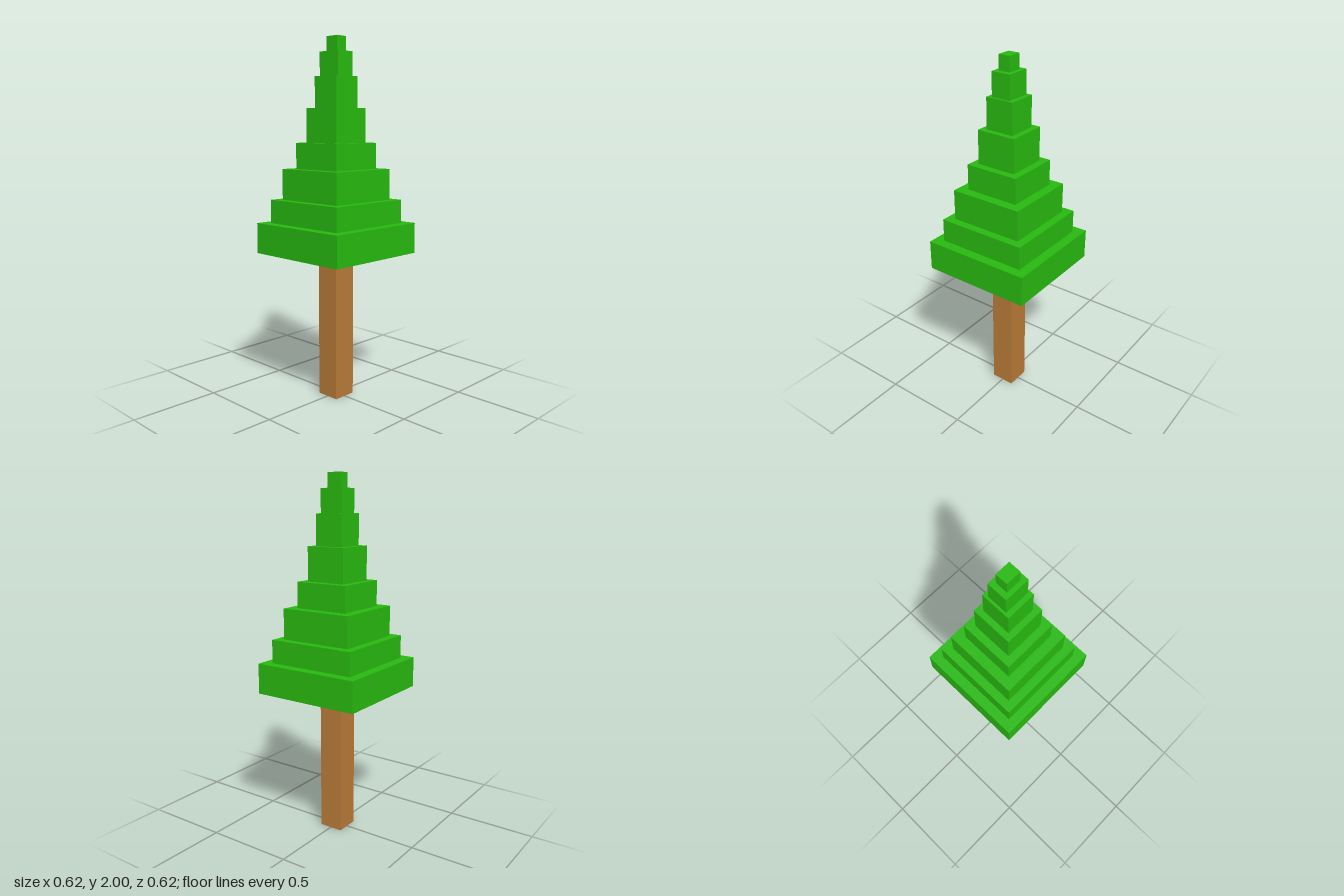
import * as THREE from 'three';

export function createModel() {
  const tree = new THREE.Group();
  tree.name = 'tree';
  const bark = new THREE.MeshStandardMaterial({ color: 0xb87a38, flatShading: true });
  const leaf = new THREE.MeshStandardMaterial({ color: 0x28b810, flatShading: true });

  // Box standing between two heights, centred on the trunk axis
  function block(name, width, depth, bottom, top, material, parent) {
    const mesh = new THREE.Mesh(new THREE.BoxGeometry(width, top - bottom, depth), material);
    mesh.name = name;
    mesh.position.y = (bottom + top) / 2;
    parent.add(mesh);
  }

  // Square trunk
  block('trunk', 0.136, 0.136, 0, 0.82, bark, tree);

  // Stepped foliage, bottom to top: width, depth, top height
  const foliage = new THREE.Group();
  foliage.name = 'foliage';
  tree.add(foliage);
  const tiers = [
    [0.62, 0.62, 0.99],
    [0.51, 0.51, 1.12],
    [0.417, 0.417, 1.29],
    [0.309, 0.309, 1.433],
    [0.227, 0.227, 1.62],
    [0.163, 0.163, 1.79],
    [0.137, 0.112, 1.92],
    [0.081, 0.066, 2],
  ];
  let bottom = 0.82;
  tiers.forEach(([width, depth, top], i) => {
    block(`foliageTier${i + 1}`, width, depth, bottom, top, leaf, foliage);
    bottom = top;
  });

  return tree;
}
